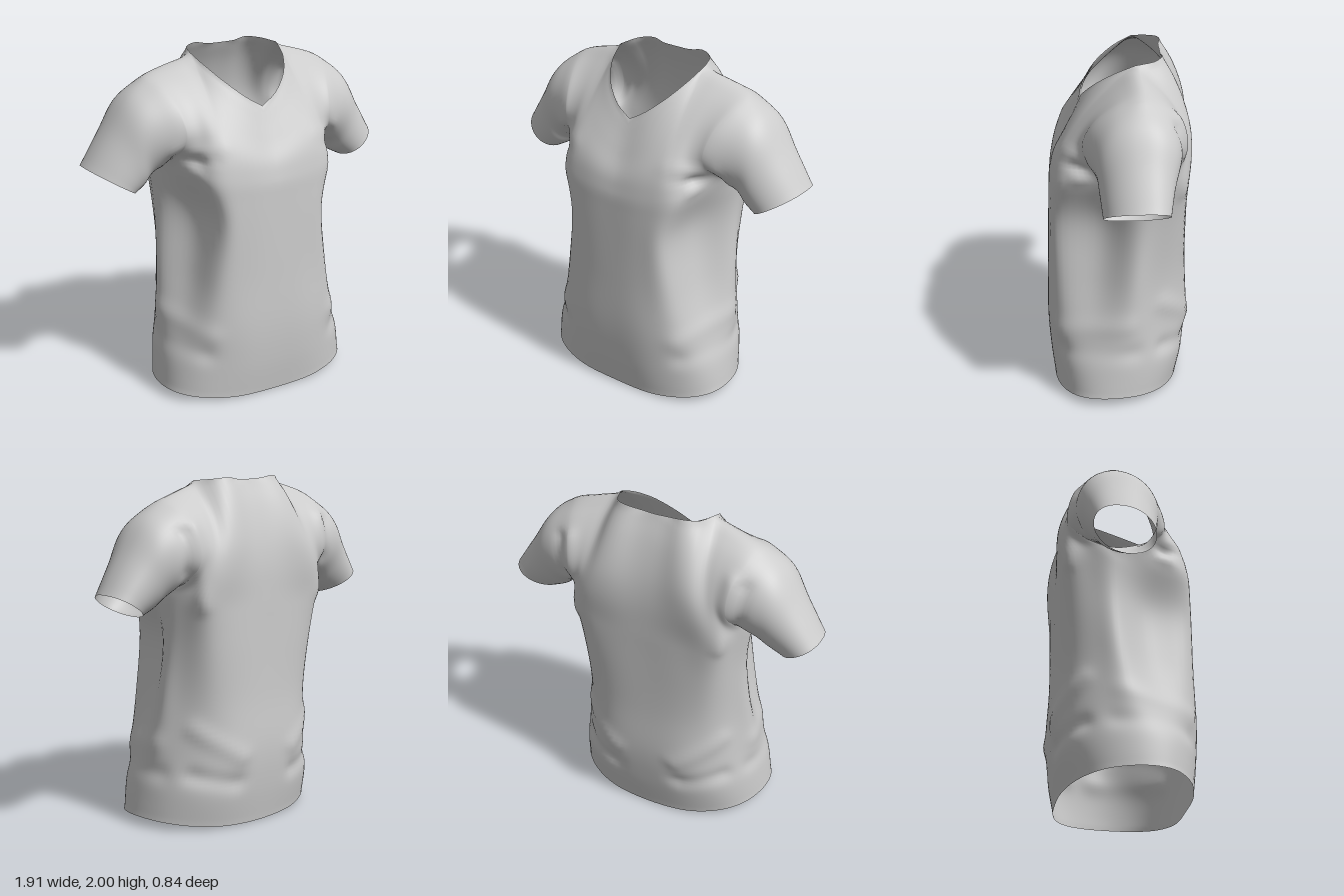
import * as THREE from 'three';
import { mergeGeometries, mergeVertices } from 'three/addons/utils/BufferGeometryUtils.js';

const V = (x, y, z) => new THREE.Vector3(x, y, z);
const spline = (pts, closed = false) =>
  new THREE.CatmullRomCurve3(pts.map(p => (p.isVector3 ? p : V(...p))), closed, 'catmullrom', 0.5);

// Grid surface from a function of (u, v); faces look along du x dv
function grid(fn, nu, nv) {
  const pos = [], idx = [];
  for (let i = 0; i <= nu; i++)
    for (let j = 0; j <= nv; j++) pos.push(...fn(i / nu, j / nv).toArray());
  for (let i = 0; i < nu; i++)
    for (let j = 0; j < nv; j++) {
      const a = i * (nv + 1) + j, b = a + nv + 1;
      idx.push(a, b, b + 1, a, b + 1, a + 1);
    }
  const g = new THREE.BufferGeometry();
  g.setAttribute('position', new THREE.Float32BufferAttribute(pos, 3));
  g.setIndex(idx);
  return g;
}

function mirrored(g) {
  const m = g.clone().scale(-1, 1, 1), ix = m.index.array;
  for (let i = 0; i < ix.length; i += 3) [ix[i], ix[i + 1]] = [ix[i + 1], ix[i]];
  return m;
}

// Surface spanning four edge curves: bottom, top (in u), inner, outer (in v);
// the outer edge's bulge fades quickly towards the middle
function coons(B, T, L, R) {
  const c00 = B(0), c10 = B(1), c01 = T(0), c11 = T(1);
  return (u, v) => {
    const f = u ** 1.7;
    return V(0, 0, 0)
      .addScaledVector(B(u), 1 - v).addScaledVector(T(u), v)
      .addScaledVector(L(v), 1 - f).addScaledVector(R(v), f)
      .addScaledVector(c00, -(1 - f) * (1 - v)).addScaledVector(c10, -f * (1 - v))
      .addScaledVector(c01, -(1 - f) * v).addScaledVector(c11, -f * v);
  };
}

// Half cross-sections of the trunk: height, side lift, then (x, z) from front centre to back centre
const ROWS = [
  [0.0, 0.045, [0, .385], [.26, .38], [.46, .32], [.58, .21], [.61, .05], [.56, -.13], [.44, -.26], [.25, -.34], [0, -.36]],
  [.22, .02, [0, .412], [.25, .402], [.46, .32], [.56, .19], [.588, .02], [.545, -.15], [.43, -.3], [.25, -.38], [0, -.395]],
  [.45, 0, [0, .424], [.24, .412], [.42, .335], [.505, .16], [.56, -.02], [.51, -.17], [.4, -.31], [.24, -.395], [0, -.412]],
  [.75, 0, [0, .418], [.21, .405], [.37, .345], [.425, .12], [.53, -.06], [.485, -.18], [.385, -.32], [.23, -.385], [0, -.398]],
  [1.08, 0, [0, .408], [.2, .4], [.335, .35], [.385, .1], [.507, -.08], [.485, -.21], [.41, -.345], [.24, -.39], [0, -.393]],
  [1.29, .09, [0, .4], [.21, .392], [.39, .335], [.465, .12], [.54, -.1], [.5, -.25], [.44, -.375], [.24, -.393], [0, -.393]],
];

// Folds in the cloth: start, end, height along the normal, width (repeated on both sides)
const FOLDS = [
  [[.52, 1.43, .14], [.34, 1.45, .3], -.024, .024],
  [[.54, 1.5, .18], [.3, 1.51, .29], .01, .035],
  [[.56, 1.39, .08], [.42, 1.37, .24], .012, .03],
  [[.5, 1.75, -.32], [.46, 1.3, -.36], .012, .04],
  [[.57, 1.72, -.3], [.55, 1.45, -.33], -.018, .035],
  [[.46, .6, -.26], [.2, .42, -.4], .014, .05],
  [[.47, .33, -.26], [.22, .27, -.39], -.018, .05],
  [[.56, .5, -.05], [.4, .42, .33], .01, .06],
  [[.57, .33, -.1], [.44, .3, .33], -.012, .055],
];

// Smooth the welded cloth along its normals without shrinking it, holding its open edges
function relax(g, steps) {
  const pos = g.attributes.position, ix = g.index.array;
  const next = Array.from({ length: pos.count }, () => new Set());
  const prev = Array.from({ length: pos.count }, () => new Set());
  for (let i = 0; i < ix.length; i += 3)
    for (let k = 0; k < 3; k++) {
      const a = ix[i + k], b = ix[i + (k + 1) % 3];
      next[a].add(b);
      prev[b].add(a);
    }
  const free = next.map((s, i) => s.size === prev[i].size && [...s].every(j => prev[i].has(j)));
  const p = V(), n = V(), mean = V(), q = V();
  for (let step = 0; step < steps; step++) {
    g.computeVertexNormals();
    const moved = pos.clone(), rate = step % 2 ? -0.48 : 0.5;
    next.forEach((ring, i) => {
      if (!free[i]) return;
      mean.set(0, 0, 0);
      for (const j of ring) mean.add(q.fromBufferAttribute(pos, j));
      p.fromBufferAttribute(pos, i);
      n.fromBufferAttribute(g.attributes.normal, i);
      mean.divideScalar(ring.size).sub(p);
      p.addScaledVector(n, rate * mean.dot(n));
      moved.setXYZ(i, p.x, p.y, p.z);
    });
    pos.copy(moved);
  }
}

function addFolds(g) {
  g.computeVertexNormals();
  const pos = g.attributes.position, nor = g.attributes.normal;
  const p = V(), q = V(), n = V(), c = V();
  const folds = FOLDS.map(([a, b, h, w]) => ({ line: new THREE.Line3(V(...a), V(...b)), h, w }));
  for (let i = 0; i < pos.count; i++) {
    p.fromBufferAttribute(pos, i);
    n.fromBufferAttribute(nor, i);
    q.set(Math.abs(p.x), p.y, p.z);
    let d = 0;
    for (const { line, h, w } of folds) {
      line.closestPointToPoint(q, true, c);
      d += h * Math.exp(-c.distanceToSquared(q) / (w * w));
    }
    p.addScaledVector(n, d);
    pos.setXYZ(i, p.x, p.y, p.z);
  }
  g.computeVertexNormals();
}

export function createModel() {
  // Trunk rings
  const rings = ROWS.map(([y, lift, ...half]) => {
    const right = half.slice(1, -1).reverse().map(([x, z]) => [-x, z]);
    return spline([...half, ...right].map(([x, z]) => [x, y + lift * (x / 0.56) ** 2, z]), true);
  });
  const top = rings[rings.length - 1];
  const trunk = (u, v) => spline(rings.map(r => r.getPoint(u / 2))).getPoint(v);

  // Neckline, shoulder seam and armhole edges
  const armpit = top.getPoint(0.25), shoulder = [.575, 1.885, -.11], neckSide = [.29, 1.982, -.09];
  const neckFront = spline([[0, 1.7, .22], [.1, 1.762, .2], [.2, 1.85, .13], [.265, 1.93, .02], neckSide]);
  const neckBack = spline([[0, 1.985, -.235], [.09, 1.988, -.232], [.17, 2, -.243], [.25, 1.992, -.2], neckSide]);
  const seam = spline([neckSide, [.39, 1.95, -.1], [.49, 1.918, -.11], shoulder]);
  const armFront = spline([armpit, [.51, 1.45, .1], [.48, 1.57, .205], [.505, 1.72, .155], [.55, 1.83, .03], shoulder]);
  const armBack = spline([armpit, [.51, 1.45, -.27], [.49, 1.57, -.36], [.505, 1.72, -.335], [.55, 1.83, -.24], shoulder]);
  const midFront = spline([top.getPoint(0), [0, 1.4, .372], [0, 1.5, .318], [0, 1.6, .267], [0, 1.7, .22]]);
  const midBack = spline([top.getPoint(0.5), [0, 1.5, -.387], [0, 1.67, -.36], [0, 1.84, -.305], [0, 1.985, -.235]]);
  const topEdge = neck => u => (u <= 0.5 ? neck.getPoint(2 * u) : seam.getPoint(2 * u - 1));

  const front = coons(u => top.getPoint(u / 4), topEdge(neckFront),
    v => midFront.getPoint(v), v => armFront.getPoint(v));
  const back = coons(u => top.getPoint(0.5 - u / 4), topEdge(neckBack),
    v => midBack.getPoint(v), v => armBack.getPoint(v));

  // Sleeve: armhole, two loops and the cuff; each loop is top, underside, front z, back z
  const loops = [
    [[.715, 1.77], [.605, 1.33], .135, -.32],
    [[.833, 1.592], [.65, 1.283], .11, -.285],
    [[.957, 1.4], [.71, 1.25], .09, -.255],
  ];
  const sleeve = (u, v) => {
    const t = 2 * (1 - u);
    const hole = t <= 1 ? armFront.getPoint(t) : armBack.getPoint(2 - t);
    const k = (1 - Math.cos(Math.PI * t)) / 2, s = Math.sin(Math.PI * t);
    const round = Math.sign(s) * Math.abs(s) ** 0.9;
    return spline([hole, ...loops.map(([a, b, zf, zb], i) => V(
      b[0] + (a[0] - b[0]) * k, b[1] + (a[1] - b[1]) * k,
      (zf + zb) / 2 - (0.03 + 0.03 * i) * (k - 0.5) + round * (zf - zb) / 2))]).getPoint(v);
  };

  // Weld everything so that shading runs smoothly over the seams
  const half = [grid(trunk, 48, 50), grid(front, 24, 28), grid((u, v) => back(1 - u, v), 24, 28)];
  const leftSleeve = grid(sleeve, 56, 24);
  const parts = {
    body: [...half, ...half.map(mirrored)],
    leftSleeve: [leftSleeve],
    rightSleeve: [mirrored(leftSleeve)],
  };
  const shirt = mergeVertices(mergeGeometries(Object.values(parts).flat()), 1e-4);
  relax(shirt, 40);
  addFolds(shirt);

  // Cut the welded cloth into named parts
  const material = new THREE.MeshStandardMaterial({ color: 0xcccccc, side: THREE.DoubleSide });
  const group = new THREE.Group();
  group.name = 'shirt';
  let start = 0;
  for (const [name, list] of Object.entries(parts)) {
    const count = list.reduce((n, g) => n + g.index.count, 0);
    const piece = shirt.clone();
    piece.setIndex(Array.from(shirt.index.array.slice(start, start + count)));
    start += count;
    const mesh = new THREE.Mesh(piece.toNonIndexed(), material);
    mesh.name = name;
    group.add(mesh);
  }
  return group;
}
